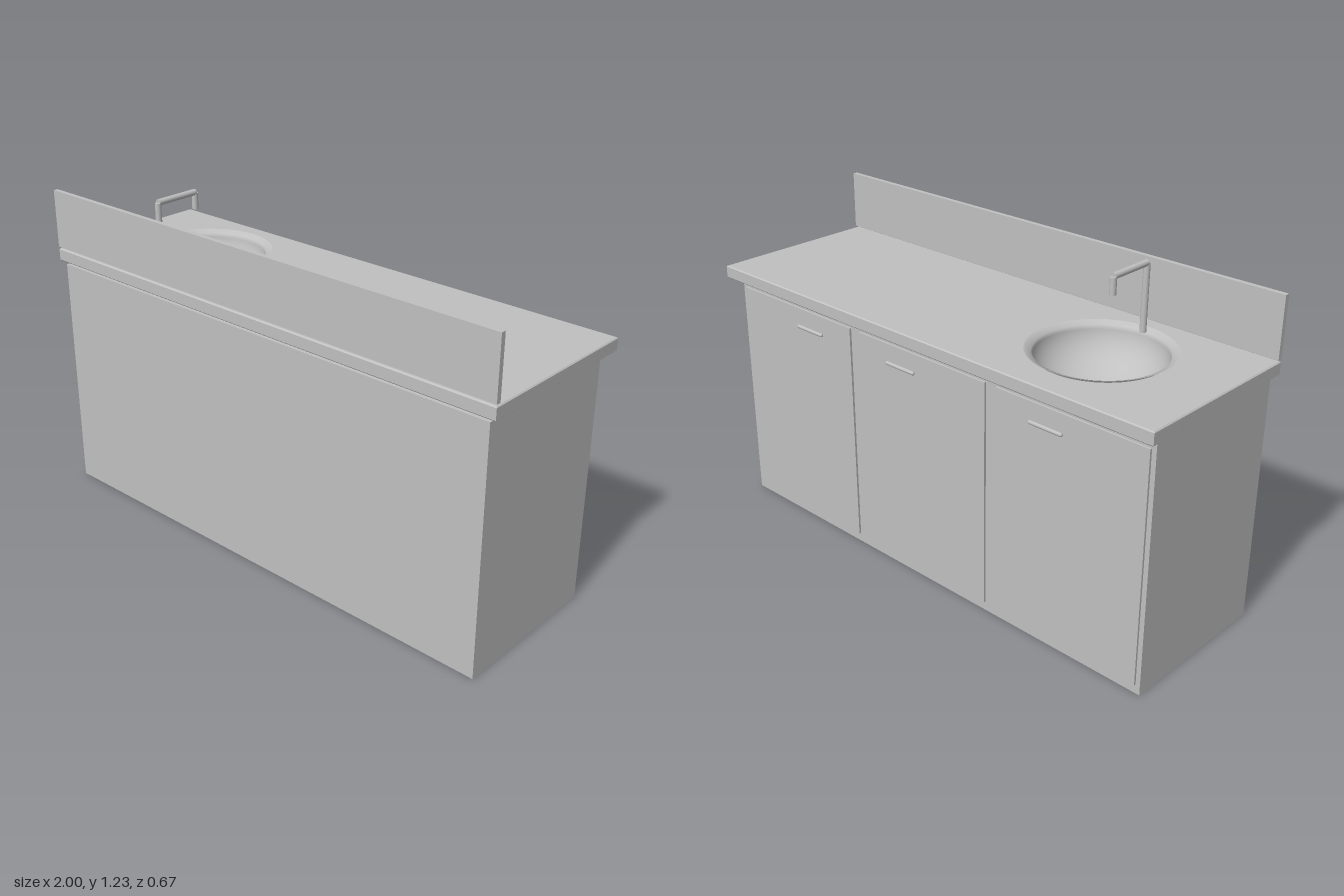
import * as THREE from 'three';

export function createModel() {
  const model = new THREE.Group();
  model.name = 'sinkCabinet';
  const grey = new THREE.MeshStandardMaterial({ color: 0xc0c0c0, side: THREE.DoubleSide });
  grey.name = 'light grey';
  const sinkX = -0.546;

  function add(name, geometry, x = 0, y = 0, z = 0, parent = model) {
    const mesh = new THREE.Mesh(geometry, grey);
    mesh.name = name;
    mesh.position.set(x, y, z);
    parent.add(mesh);
    return mesh;
  }

  // Upright slab with a round opening for the basin
  function slabWithHole(halfX, zBack, zFront, y0, y1, bevel) {
    const w = halfX - bevel, a = -zFront + bevel, b = -zBack - bevel;
    const shape = new THREE.Shape();
    shape.moveTo(-w, a).lineTo(w, a).lineTo(w, b).lineTo(-w, b).closePath();
    shape.holes.push(new THREE.Path().absarc(sinkX, 0, 0.226 + bevel, 0, Math.PI * 2, true));
    const geometry = new THREE.ExtrudeGeometry(shape, {
      depth: y1 - y0 - 2 * bevel, curveSegments: 32,
      bevelEnabled: bevel > 0, bevelSize: bevel, bevelThickness: bevel, bevelSegments: 1,
    });
    geometry.rotateX(-Math.PI / 2);
    geometry.translate(0, y0 + bevel, 0);
    return geometry;
  }

  // Carcass, floor, worktop and upstand
  add('cabinet', slabWithHole(0.975, -0.28, 0.325, 0.004, 0.912, 0));
  add('cabinetFloor', new THREE.BoxGeometry(1.95, 0.004, 0.605), 0, 0.002, 0.0225);
  add('worktop', slabWithHole(1, -0.335, 0.335, 0.924, 0.973, 0.004));
  add('upstand', new THREE.BoxGeometry(2, 0.22, 0.018), 0, 1.09, 0.327);

  // Basin: flared lip running into a round bowl
  const profile = [];
  for (let i = 0; i <= 16; i++) {
    const t = (i / 16) * Math.PI / 2;
    profile.push(new THREE.Vector2(0.225 * Math.sin(t), 0.977 - 0.165 * Math.cos(t)));
  }
  profile.push(new THREE.Vector2(0.25, 0.987));
  add('basin', new THREE.LatheGeometry(profile, 64), sinkX);

  // Doors with bar handles
  [[0.655, -0.088], [0, 0.087], [-0.655, 0.088]].forEach(([x, offset], i) => {
    const door = new THREE.Group();
    door.name = `door${i + 1}`;
    door.position.x = x;
    model.add(door);
    add('doorPanel', new THREE.BoxGeometry(0.606, 0.85, 0.008), 0, 0.46, -0.284, door);
    const bar = new THREE.CapsuleGeometry(0.007, 0.126, 4, 12).rotateZ(Math.PI / 2);
    add('handle', bar, offset, 0.817, -0.295, door);
    for (const s of [-1, 1]) {
      const post = new THREE.CylinderGeometry(0.004, 0.004, 0.012, 8).rotateX(Math.PI / 2);
      add('handlePost', post, offset + s * 0.055, 0.817, -0.291, door);
    }
  });

  // Tap: stem, arm and short spout
  const tap = new THREE.Group();
  tap.name = 'tap';
  tap.position.x = sinkX;
  model.add(tap);
  const pipe = (length) => new THREE.CylinderGeometry(0.0115, 0.0115, length, 20);
  add('tapStem', pipe(0.24), 0, 1.098, 0.22, tap);
  add('tapArm', pipe(0.175).rotateX(Math.PI / 2), 0, 1.22, 0.1315, tap);
  add('tapSpout', pipe(0.06), 0, 1.187, 0.044, tap);

  return model;
}
